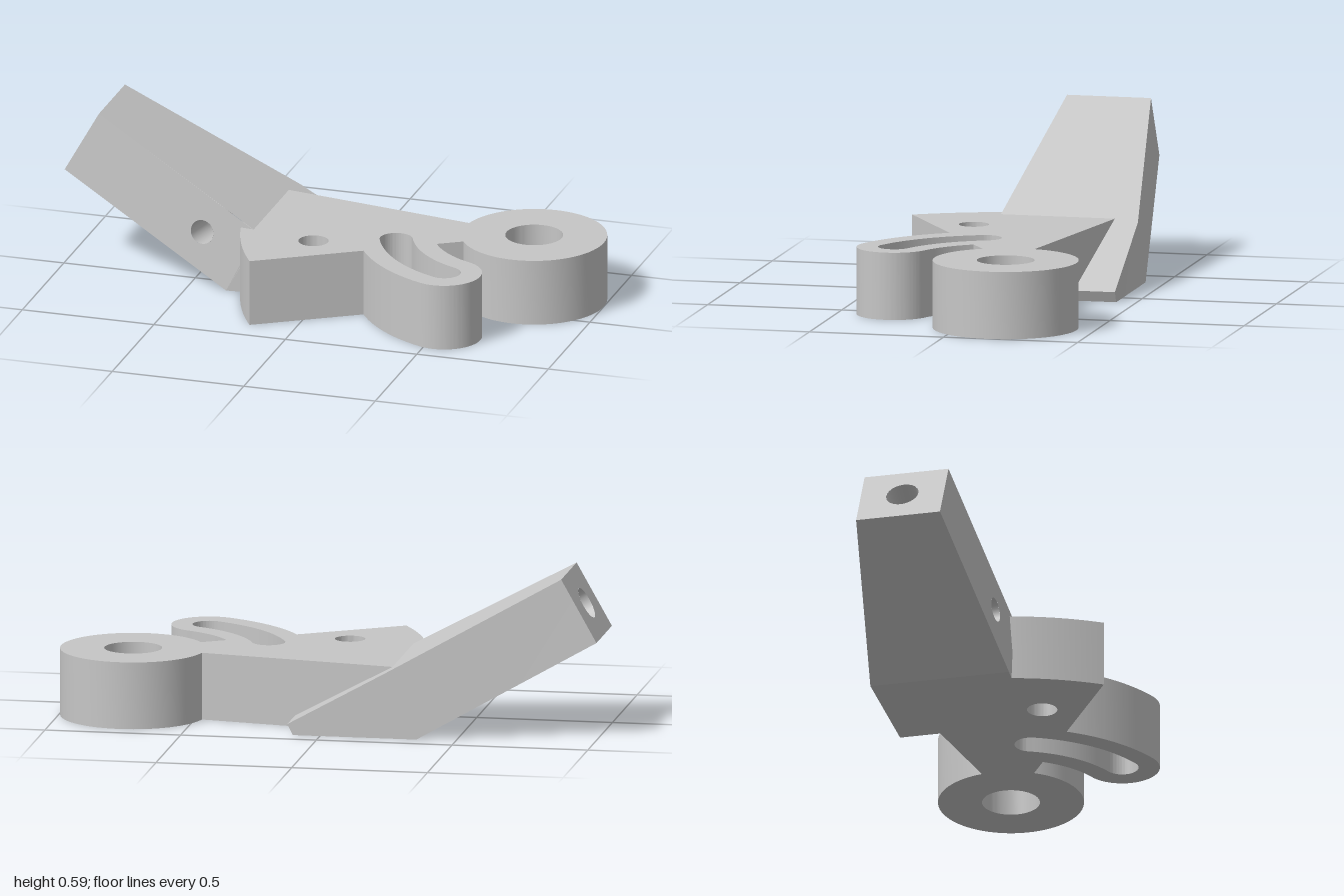
import * as THREE from 'three';
import { toCreasedNormals } from 'three/addons/utils/BufferGeometryUtils.js';

const V = (x, y, z) => new THREE.Vector3(x, y, z);
const H = 0.247; // plate thickness
const C = { x: 0.735, z: -0.168 }; // pivot eye centre; sector and slot are concentric with it
const polar = (r, a) => [C.x + r * Math.cos(a), C.z + r * Math.sin(a)];
const circle = (x, y, r) => new THREE.Path().absarc(x, y, r, 0, Math.PI * 2, false);

// Flat plate: pivot eye, sector and slotted lobe in one outline (shape y becomes z)
function plateGeometry() {
  const PI = Math.PI;
  const back = PI + 0.17, front = PI - 0.56, slotA = PI - 0.385, slotB = PI - 1.17;
  const eye = 0.265, rim = 1.066, mid = 0.502, lobe = 0.137, half = 0.06;
  const s = new THREE.Shape();
  s.moveTo(...polar(eye, back));
  s.lineTo(...polar(rim, back));
  s.absarc(C.x, C.z, rim, back, front, true);
  s.lineTo(...polar(mid + lobe, front));
  s.absarc(C.x, C.z, mid + lobe, front, slotB, true);
  s.absarc(...polar(mid, slotB), lobe, slotB, slotB - PI, true);
  s.absarc(C.x, C.z, mid - lobe, slotB, front, false);
  s.lineTo(...polar(eye, front));
  s.absarc(C.x, C.z, eye, front, back - 2 * PI, true);

  // Curved slot, wound the same way as the round holes
  const slot = new THREE.Path();
  slot.absarc(C.x, C.z, mid + half, slotB, slotA, false);
  slot.absarc(...polar(mid, slotA), half, slotA, slotA + PI, false);
  slot.absarc(C.x, C.z, mid - half, slotA, slotB, true);
  slot.absarc(...polar(mid, slotB), half, slotB - PI, slotB, false);
  s.holes.push(circle(C.x, C.z, 0.105), circle(-0.01, 0.13, 0.055), slot);

  const g = new THREE.ExtrudeGeometry(s, { depth: H, bevelEnabled: false, curveSegments: 32 });
  g.rotateX(Math.PI / 2).translate(0, H, 0);
  return toCreasedNormals(g, 0.5);
}

// Flat rectangular panel with a round hole, placed by origin and two directions
function panelGeometry(origin, uDir, vDir, hole) {
  const w = uDir.length(), h = vDir.length();
  const s = new THREE.Shape();
  s.moveTo(0, 0).lineTo(w, 0).lineTo(w, h).lineTo(0, h);
  s.holes.push(circle(...hole));
  const u = uDir.clone().normalize(), v = vDir.clone().normalize();
  const m = new THREE.Matrix4().makeBasis(u, v, u.clone().cross(v)).setPosition(origin);
  return new THREE.ShapeGeometry(s, 24).applyMatrix4(m);
}

export function createModel() {
  const group = new THREE.Group();
  const grey = new THREE.MeshStandardMaterial({ color: 0xc6c6c6 });
  const greyInner = grey.clone();
  grey.name = 'grey';
  greyInner.name = 'greyInside';
  greyInner.side = THREE.DoubleSide;
  const add = (name, geometry, material = grey) => {
    const mesh = new THREE.Mesh(geometry, material);
    mesh.name = name;
    group.add(mesh);
    return mesh;
  };

  add('plate', plateGeometry());

  // Arm cross-sections: bottom front, top front, top back, bottom back
  const station = (bx, by, tx, ty, zf, zb) =>
    [V(bx, by, zf), V(tx, ty, zf), V(tx, ty, zb), V(bx, by, zb)];
  const end = station(-1, 0.36, -0.87, 0.59, -0.01, -0.323);
  const hip = station(-0.355, 0, -0.235, 0.238, 0.09, -0.427);
  const tail = station(0.1, 0, 0.12, 0.04, 0.06, -0.427);

  const pos = [];
  const quad = (a, b, c, d) => [a, b, c, a, c, d].forEach((p) => pos.push(p.x, p.y, p.z));
  [[end, hip], [hip, tail]].forEach(([A, B], k) => {
    for (let i = 0; i < 4; i++) {
      if (k === 0 && i === 0) continue; // drilled side is a separate panel
      const j = (i + 1) % 4;
      quad(A[i], B[i], B[j], A[j]);
    }
  });
  quad(tail[3], tail[2], tail[1], tail[0]);
  const armGeo = new THREE.BufferGeometry();
  armGeo.setAttribute('position', new THREE.Float32BufferAttribute(pos, 3));
  add('arm', toCreasedNormals(armGeo, 0.4));

  // Drilled faces of the arm
  const up = end[1].clone().sub(end[0]);
  const along = hip[0].clone().sub(end[0]);
  const across = end[0].clone().sub(end[3]);
  const h = up.length(), w = across.length();
  const R = 0.06, r = 0.045, sideAt = 0.556;
  add('armSide', panelGeometry(end[0], along, up, [sideAt, h / 2, r]));
  add('armEnd', panelGeometry(end[3], across, up, [w / 2, h / 2, R]));

  // Counterbore in the end and a bent passage out through the side
  const axis = V(along.x, along.y, 0).normalize();
  const mouth = end[3].clone().addScaledVector(across, 0.5).addScaledVector(up, 0.5);
  const step = mouth.clone().addScaledVector(axis, 0.15);
  const exit = end[0].clone().addScaledVector(up, 0.5)
    .addScaledVector(along.clone().normalize(), sideAt);
  const outward = along.clone().cross(up).normalize();
  const corner = exit.clone().addScaledVector(outward, -0.23);
  const bendIn = corner.clone().addScaledVector(axis, -0.1);
  const bendOut = corner.clone().addScaledVector(outward, 0.1);
  const passage = new THREE.CurvePath();
  passage.add(new THREE.LineCurve3(step, bendIn));
  passage.add(new THREE.QuadraticBezierCurve3(bendIn, corner, bendOut));
  passage.add(new THREE.LineCurve3(bendOut, exit));
  add('counterbore',
    new THREE.TubeGeometry(new THREE.LineCurve3(mouth, step), 1, R, 24), greyInner);
  add('passage', new THREE.TubeGeometry(passage, 32, r, 24), greyInner);
  const ledge = add('counterboreLedge', new THREE.RingGeometry(r, R, 24), greyInner);
  ledge.position.copy(step);
  ledge.quaternion.setFromUnitVectors(V(0, 0, 1), axis.clone().negate());

  return group;
}
